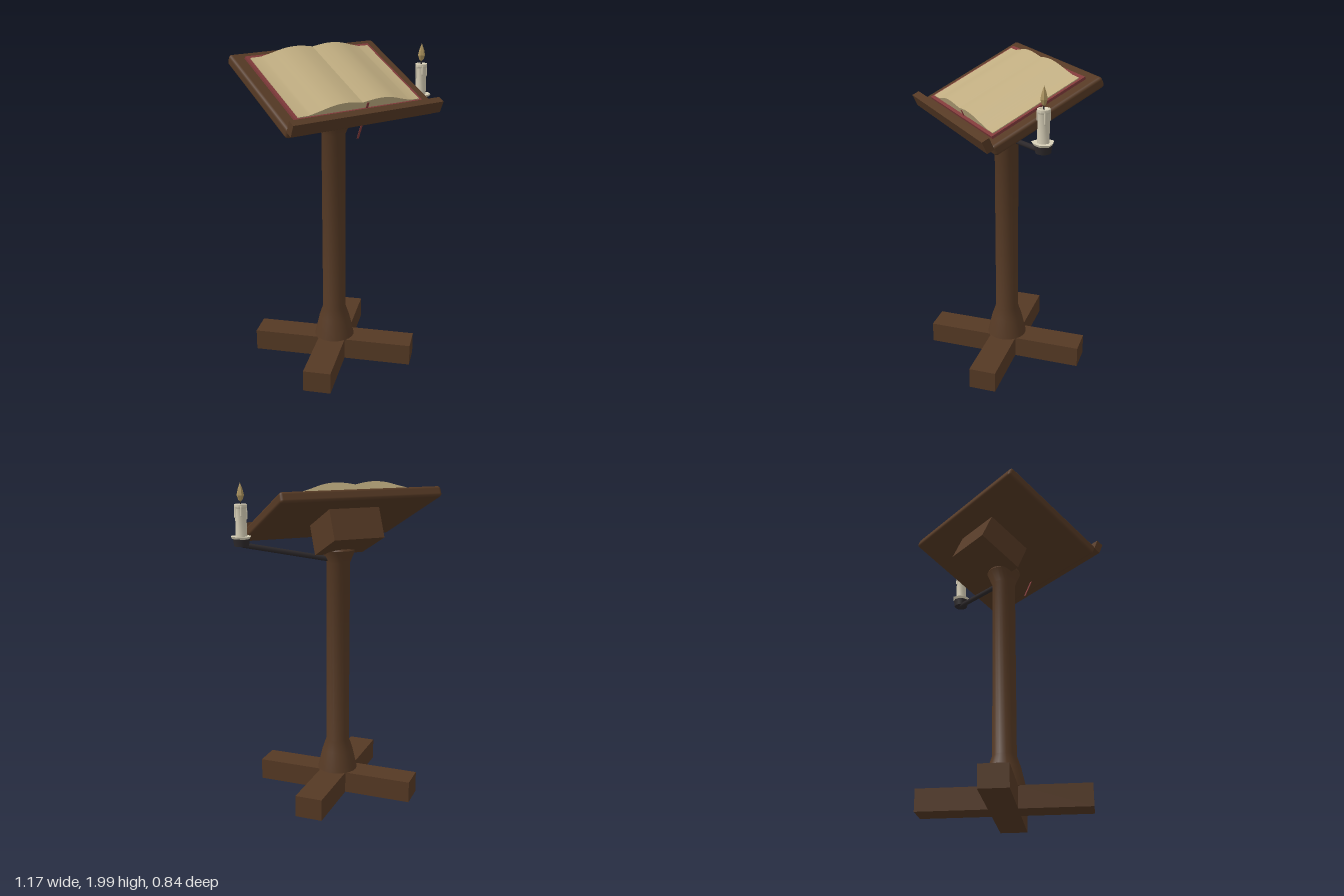
import * as THREE from 'three';
import { toCreasedNormals } from 'three/addons/utils/BufferGeometryUtils.js';
import { RoundedBoxGeometry } from 'three/addons/geometries/RoundedBoxGeometry.js';

const material = (name, color, extra = {}) => {
  const m = new THREE.MeshStandardMaterial({ color, ...extra });
  m.name = name;
  return m;
};

const v2 = (list) => list.map(([x, y]) => new THREE.Vector2(x, y));

export function createModel() {
  const wood = material('dark wood', 0x553924);
  const paper = material('parchment', 0xbfac80);
  const red = material('red leather', 0x803a3a, { side: THREE.DoubleSide });
  const iron = material('black iron', 0x2d292b);
  const wax = material('candle wax', 0xd8d0b8);
  const flameGold = material('flame', 0xa8905c);

  const model = new THREE.Group();
  model.name = 'lectern';

  const add = (parent, name, geometry, mat, x = 0, y = 0, z = 0) => {
    const mesh = new THREE.Mesh(geometry, mat);
    mesh.name = name;
    mesh.position.set(x, y, z);
    parent.add(mesh);
    return mesh;
  };

  const stand = new THREE.Group();
  stand.name = 'stand';
  stand.position.x = -0.08;
  model.add(stand);

  // Diagonal cross foot, one plus-shaped slab
  const L = 0.509, W = 0.085;
  const plus = new THREE.Shape(v2([
    [W, W], [W, L], [-W, L], [-W, W], [-L, W], [-L, -W],
    [-W, -W], [-W, -L], [W, -L], [W, -W], [L, -W], [L, W],
  ]));
  const footGeometry = new THREE.ExtrudeGeometry(plus, { depth: 0.135, bevelEnabled: false })
    .rotateX(-Math.PI / 2).rotateY(Math.PI / 4);
  add(stand, 'crossFoot', footGeometry, wood);

  // Turned post with flared base and collar
  const postProfile = v2([
    [0, 0.13], [0.128, 0.13], [0.098, 0.26], [0.073, 0.335], [0.073, 1.49],
    [0.106, 1.57], [0.08, 1.61], [0, 1.61],
  ]);
  add(stand, 'post', toCreasedNormals(new THREE.LatheGeometry(postProfile, 24), 0.5), wood);

  // Sloping desk: board, support block and book ledge
  const desk = new THREE.Group();
  desk.name = 'slopingDesk';
  desk.position.set(0, 1.782, -0.008);
  desk.rotation.x = THREE.MathUtils.degToRad(24);
  stand.add(desk);
  add(desk, 'board', new RoundedBoxGeometry(1.015, 0.065, 0.745, 2, 0.018), wood);
  add(desk, 'supportBlock', new THREE.BoxGeometry(0.32, 0.195, 0.312), wood, 0, -0.121, -0.062);
  add(desk, 'bookLedge', new THREE.BoxGeometry(1.015, 0.076, 0.047), wood, 0, 0.052, 0.388);

  // Open book: cover and two swelling page blocks
  add(desk, 'bookCover', new THREE.BoxGeometry(0.865, 0.016, 0.637), red, 0, 0.04, 0.009);
  const pageCurve = new THREE.SplineCurve(v2([
    [0, 0.087], [0.06, 0.098], [0.125, 0.103], [0.2, 0.095], [0.28, 0.072], [0.345, 0.054],
  ])).getPoints(16);
  const pageShape = new THREE.Shape([
    ...v2([[0.4125, 0.045], [0.4125, 0.053]]),
    ...[...pageCurve].reverse(),
    ...pageCurve.slice(1).map((p) => new THREE.Vector2(-p.x, p.y)),
    ...v2([[-0.4125, 0.053], [-0.4125, 0.045]]),
  ]);
  const pages = new THREE.ExtrudeGeometry(pageShape, { depth: 0.589, bevelEnabled: false });
  add(desk, 'pages', toCreasedNormals(pages, 0.3), paper, 0, 0, -0.282);

  // Ribbon hanging down from the foot of the book
  add(desk, 'bookmarkRibbon', new THREE.BoxGeometry(0.014, 0.255, 0.003), red, 0.035, -0.043, 0.311);

  // Candle arm
  const from = new THREE.Vector3(-0.03, 1.512, -0.005);
  const to = new THREE.Vector3(0.512, 1.622, 0.08);
  add(model, 'candleArm', new THREE.TubeGeometry(new THREE.LineCurve3(from, to), 1, 0.016, 8), iron);

  const candle = new THREE.Group();
  candle.name = 'candle';
  candle.position.set(0.512, 0, 0.08);
  model.add(candle);
  add(candle, 'candleCup', new THREE.CylinderGeometry(0.05, 0.044, 0.045, 10), iron, 0, 1.637, 0);

  // Uneven pool of wax
  const pool = new THREE.CylinderGeometry(0.062, 0.054, 0.014, 8);
  const p = pool.attributes.position;
  for (let i = 0; i < p.count; i++) {
    const a = Math.atan2(p.getZ(i), p.getX(i));
    const s = 1 + 0.1 * Math.sin(3 * a + 0.6);
    p.setX(i, p.getX(i) * s);
    p.setZ(i, p.getZ(i) * s);
  }
  add(candle, 'waxPool', toCreasedNormals(pool, 0.3), wax, 0, 1.666, 0);

  // Candle body with a raised rim and hollow top
  const bodyProfile = v2([
    [0.035, 1.66], [0.032, 1.835], [0.038, 1.845], [0.037, 1.86], [0.026, 1.862], [0.018, 1.85], [0, 1.85],
  ]);
  add(candle, 'candleBody', toCreasedNormals(new THREE.LatheGeometry(bodyProfile, 10), 0.7), wax);

  // Drips down the side
  for (const [angle, length] of [[0.3, 0.06], [2.0, 0.045], [3.3, 0.07], [5.0, 0.05]]) {
    add(candle, 'waxDrip', new THREE.CapsuleGeometry(0.006, length, 3, 6), wax,
      Math.cos(angle) * 0.033, 1.845 - length / 2, Math.sin(angle) * 0.033);
  }

  // Wick and flame
  add(candle, 'wick', new THREE.CylinderGeometry(0.004, 0.004, 0.04, 6), iron, 0, 1.868, 0);
  const flameProfile = v2([[0, 1.873], [0.013, 1.885], [0.022, 1.912], [0.015, 1.945], [0, 1.985]]);
  add(candle, 'flame', toCreasedNormals(new THREE.LatheGeometry(flameProfile, 6), 0.4), flameGold);

  return model;
}
